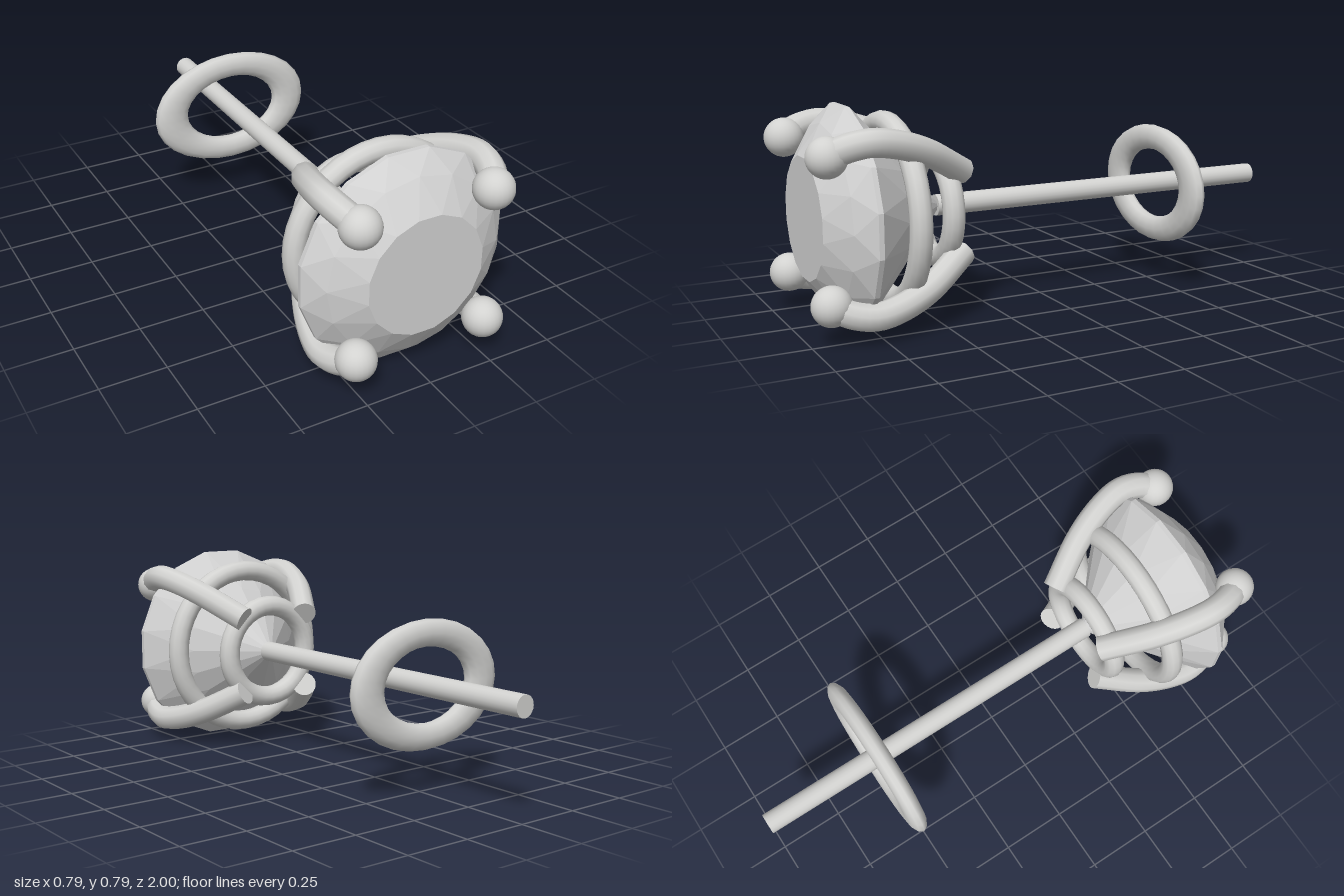
import * as THREE from 'three';

export function createModel() {
  const model = new THREE.Group();
  const metal = new THREE.MeshStandardMaterial({ color: 0xd2d2d0 });
  metal.name = 'polished silver';
  const gem = new THREE.MeshStandardMaterial({ color: 0xd2d2d2, flatShading: true });
  gem.name = 'clear stone';

  // Everything is arranged around the z axis, then lifted onto the ground
  const stud = new THREE.Group();
  stud.name = 'stud';
  stud.position.y = 0.395;
  model.add(stud);

  function add(name, geometry, material, parent = stud) {
    const mesh = new THREE.Mesh(geometry, material);
    mesh.name = name;
    parent.add(mesh);
    return mesh;
  }

  // Faceted stone: rings of [radius, z, twist in steps], from table to culet
  function stoneGeometry() {
    const sides = 16;
    const rings = [
      [0, 0.94, 0.5], [0.225, 0.94, 0.5], [0.336, 0.868, 1], [0.403, 0.803, 1.5],
      [0.403, 0.785, 1.5], [0.245, 0.635, 2], [0, 0.42, 2],
    ];
    const point = ([r, z, twist], i) => {
      const a = ((i + twist) / sides) * Math.PI * 2;
      return [r * Math.cos(a), r * Math.sin(a), z];
    };
    const positions = [];
    for (let k = 0; k < rings.length - 1; k++) {
      const a = rings[k], b = rings[k + 1];
      for (let i = 0; i < sides; i++) {
        if (a[0] > 0) positions.push(...point(a, i), ...point(b, i), ...point(a, i + 1));
        if (b[0] > 0) positions.push(...point(b, i), ...point(b, i + 1), ...point(a, i + 1));
      }
    }
    const geometry = new THREE.BufferGeometry();
    geometry.setAttribute('position', new THREE.Float32BufferAttribute(positions, 3));
    geometry.computeVertexNormals();
    return geometry;
  }
  add('stone', stoneGeometry(), gem);

  // Four curved prongs with ball tips, on the diagonals
  const profile = [[0.255, 0.93], [0.285, 0.87], [0.3, 0.79], [0.288, 0.7], [0.245, 0.57], [0.15, 0.395]];
  for (const sx of [-1, 1]) {
    for (const sy of [-1, 1]) {
      const prong = new THREE.Group();
      prong.name = (sy > 0 ? 'upper' : 'lower') + (sx > 0 ? 'Left' : 'Right') + 'Prong';
      stud.add(prong);
      const curve = new THREE.CatmullRomCurve3(
        profile.map(([d, z]) => new THREE.Vector3(sx * d, sy * d, z)));
      add('prongWire', new THREE.TubeGeometry(curve, 24, 0.05, 10), metal, prong);
      const cap = add('prongEnd', new THREE.CircleGeometry(0.05, 20), metal, prong);
      cap.position.copy(curve.getPoint(1));
      cap.quaternion.setFromUnitVectors(new THREE.Vector3(0, 0, 1), curve.getTangent(1));
      const ball = add('prongTip', new THREE.SphereGeometry(0.072, 24, 16), metal, prong);
      ball.position.set(sx * 0.255, sy * 0.255, 0.928);
    }
  }

  // Basket rings joining the prongs
  add('middleRing', new THREE.TorusGeometry(0.323, 0.041, 12, 40), metal).position.z = 0.625;
  add('baseRing', new THREE.TorusGeometry(0.19, 0.041, 12, 32), metal).position.z = 0.446;

  // Straight post
  const post = add('post', new THREE.CylinderGeometry(0.04, 0.04, 1.44, 20), metal);
  post.rotation.x = Math.PI / 2;
  post.position.z = -0.28;

  // Oval backing ring, flattened along the post
  const backing = add('backingRing', new THREE.TorusGeometry(0.187, 0.05, 12, 28), metal);
  backing.scale.set(1.44, 1, 0.7);
  backing.position.z = -0.525;

  return model;
}
